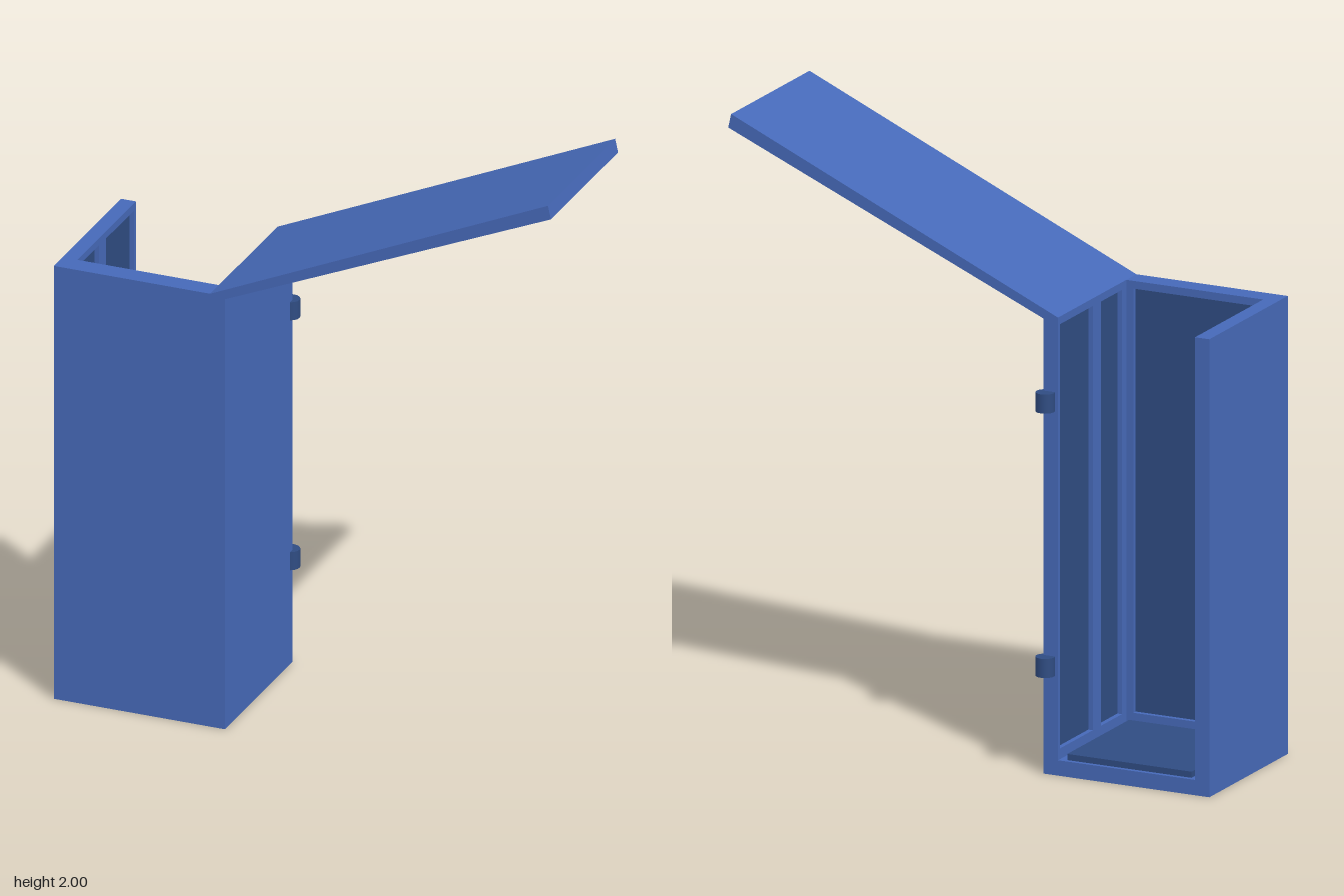
import * as THREE from 'three';

const blue = new THREE.MeshStandardMaterial({ color: 0x4669b8 });
blue.name = 'blue';
const darkBlue = new THREE.MeshStandardMaterial({ color: 0x2f4c82 });
darkBlue.name = 'dark blue';

// Outer and inner limits of the case
const LEFT = -0.265, RIGHT = -0.845, BACK = -0.25, FRONT = 0.29, TOP = 1.49;
const WALL = 0.05, FLOOR = 0.05, INNER_FRONT = 0.22, RECESS = 0.02;
const PANEL_BOTTOM = 0.085, PANEL_TOP = 1.465;

function mesh(name, geometry, material) {
  const m = new THREE.Mesh(geometry, material);
  m.name = name;
  return m;
}

// Box given by its two opposite corners
function box(name, material, x0, x1, y0, y1, z0, z1) {
  const g = new THREE.BoxGeometry(x1 - x0, y1 - y0, z1 - z0);
  g.translate((x0 + x1) / 2, (y0 + y1) / 2, (z0 + z1) / 2);
  return mesh(name, g, material);
}

function polygon(points) {
  return points.map(([x, y]) => new THREE.Vector2(x, y));
}

function rect(a, b, y0, y1) {
  return polygon([[a, y0], [b, y0], [b, y1], [a, y1]]);
}

// Flat frame with one opening for each panel span
function frameGeometry(a, b, spans) {
  const shape = new THREE.Shape(rect(a, b, FLOOR, TOP));
  for (const [s, e] of spans) {
    shape.holes.push(new THREE.Path(rect(s, e, PANEL_BOTTOM, PANEL_TOP).reverse()));
  }
  return new THREE.ExtrudeGeometry(shape, { depth: RECESS, bevelEnabled: false });
}

// Side wall: outer sheet, inner frame and two sunken panels
function sideWall(name, outerX, inward) {
  const wall = new THREE.Group();
  wall.name = name;
  const sheetX = outerX + inward * (WALL - RECESS);
  const innerX = outerX + inward * WALL;
  const span = (a, b) => [Math.min(a, b), Math.max(a, b)];
  const spans = [[-0.235, -0.01], [0.045, 0.19]];
  wall.add(box('sideSheet', blue, ...span(outerX, sheetX), FLOOR, TOP, BACK, INNER_FRONT));

  const frame = frameGeometry(BACK, INNER_FRONT, spans);
  frame.rotateY(-Math.PI / 2);
  frame.translate(Math.max(sheetX, innerX), 0, 0);
  wall.add(mesh('sideFrame', frame, blue));

  for (const [z0, z1] of spans) {
    wall.add(box('sidePanel', darkBlue, ...span(sheetX, sheetX + inward * 0.004),
      PANEL_BOTTOM, PANEL_TOP, z0, z1));
  }
  return wall;
}

// Front wall with a single sunken panel on its inside
function frontWall() {
  const wall = new THREE.Group();
  wall.name = 'frontWall';
  const sheetZ = INNER_FRONT + RECESS;
  wall.add(box('frontSheet', blue, RIGHT, LEFT, FLOOR, TOP, sheetZ, FRONT));
  const frame = frameGeometry(RIGHT, LEFT, [[-0.775, -0.34]]);
  frame.translate(0, 0, INNER_FRONT);
  wall.add(mesh('frontFrame', frame, blue));
  wall.add(box('frontPanel', darkBlue, -0.775, -0.34,
    PANEL_BOTTOM, PANEL_TOP, sheetZ - 0.004, sheetZ));
  return wall;
}

// Raised lid as a sloping slab
function lid() {
  const shape = new THREE.Shape(polygon([
    [-0.265, 1.48], [0.84, 1.955], [0.83, 2.0], [-0.315, 1.49],
  ]));
  const g = new THREE.ExtrudeGeometry(shape, { depth: FRONT - BACK, bevelEnabled: false });
  g.translate(0, 0, BACK);
  return mesh('lid', g, blue);
}

export function createModel() {
  const model = new THREE.Group();
  model.name = 'openCase';

  model.add(box('floor', blue, RIGHT, LEFT, 0, FLOOR, BACK, FRONT));
  model.add(box('floorPanel', darkBlue, -0.775, -0.34, FLOOR, FLOOR + 0.02, -0.235, 0.19));
  model.add(sideWall('leftWall', LEFT, -1));
  model.add(sideWall('rightWall', RIGHT, 1));
  model.add(frontWall());
  model.add(lid());

  // Two hinge knuckles on the back left edge
  for (const y of [0.355, 1.215]) {
    const hinge = mesh('hinge', new THREE.CylinderGeometry(0.031, 0.031, 0.062, 16), darkBlue);
    hinge.position.set(-0.276, y, -0.261);
    model.add(hinge);
  }
  return model;
}
